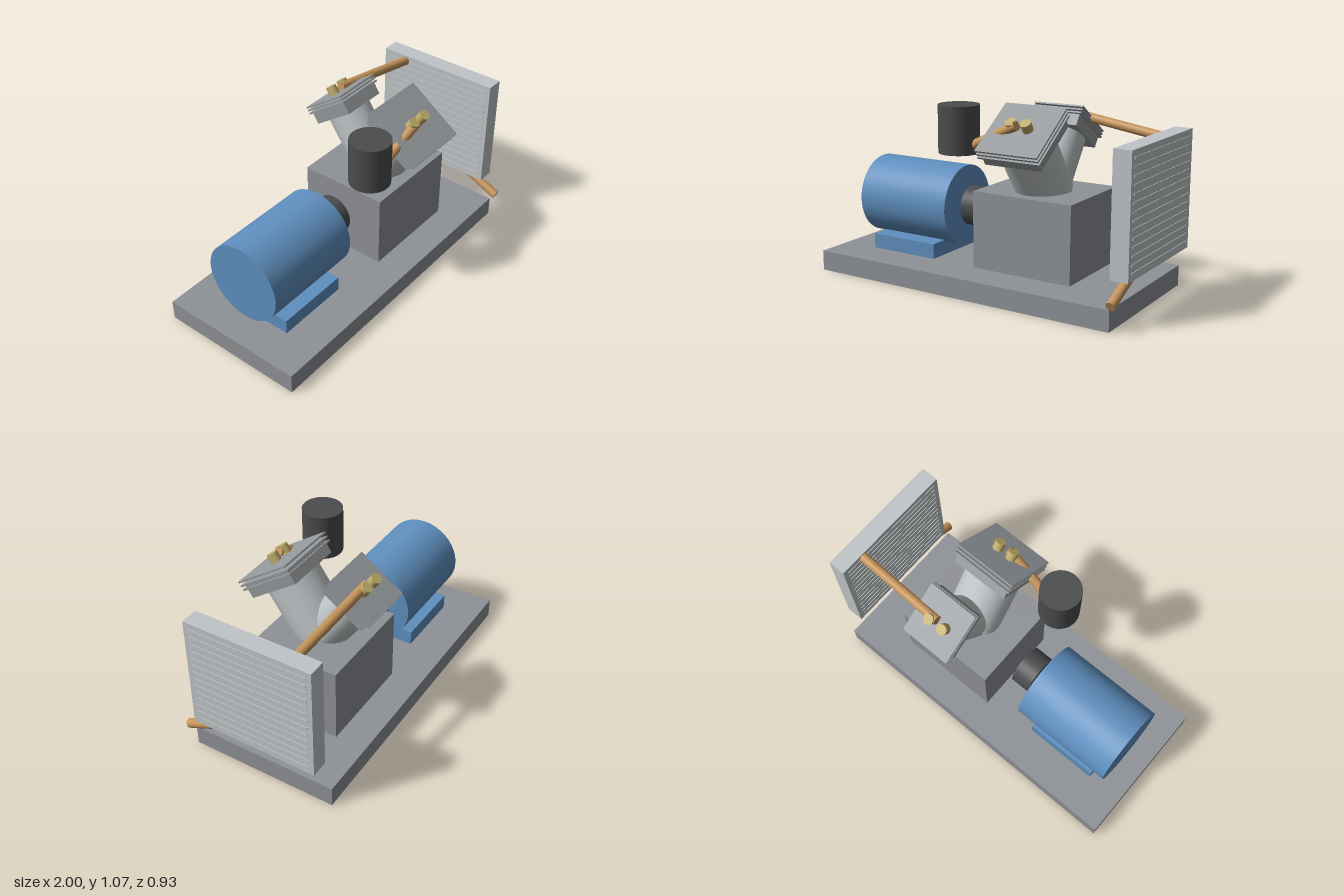
import * as THREE from 'three';

const paint = (name, color) => {
  const m = new THREE.MeshStandardMaterial({ color });
  m.name = name;
  return m;
};

export function createModel() {
  const grey = paint('grey steel', 0x8e9196);
  const headGrey = paint('head alloy', 0x969a9d);
  const silver = paint('silver', 0xc0c5c7);
  const blue = paint('motor blue', 0x5f8fbf);
  const dark = paint('dark grey', 0x4a4c4e);
  const copper = paint('copper', 0xc4935a);
  const brass = paint('brass', 0xbfae6a);

  const model = new THREE.Group();
  model.name = 'compressor';
  const MID = -0.02; // shared centre line in z

  const add = (parent, name, geo, mat, x, y, z) => {
    const m = new THREE.Mesh(geo, mat);
    m.name = name;
    m.position.set(x, y, z);
    parent.add(m);
    return m;
  };
  const box = (parent, name, mat, w, h, d, x, y, z) =>
    add(parent, name, new THREE.BoxGeometry(w, h, d), mat, x, y, z);
  const cyl = (parent, name, mat, r, h, x, y, z) =>
    add(parent, name, new THREE.CylinderGeometry(r, r, h, 48), mat, x, y, z);
  // straight round pipe between two points
  const pipe = (name, from, to) => {
    const a = new THREE.Vector3(...from);
    const b = new THREE.Vector3(...to);
    const c = a.clone().add(b).multiplyScalar(0.5);
    const m = cyl(model, name, copper, 0.027, a.distanceTo(b), c.x, c.y, c.z);
    m.quaternion.setFromUnitVectors(new THREE.Vector3(0, 1, 0), b.sub(a).normalize());
  };

  // base plate, crankcase
  box(model, 'basePlate', grey, 1.925, 0.12, 0.89, -0.0375, 0.06, MID);
  box(model, 'crankcase', grey, 0.62, 0.445, 0.535, 0.29, 0.3575, MID);

  // motor, its foot and the shaft coupling
  cyl(model, 'motor', blue, 0.237, 0.62, -0.555, 0.418, MID - 0.003).rotation.z = Math.PI / 2;
  box(model, 'motorFoot', blue, 0.445, 0.09, 0.44, -0.5575, 0.164, MID);
  cyl(model, 'coupling', dark, 0.117, 0.12, -0.155, 0.418, MID - 0.003).rotation.z = Math.PI / 2;

  // two tilted cylinder banks: large low-pressure in front, small high-pressure behind
  const bank = (name, tilt, scale, finGap) => {
    const g = new THREE.Group();
    g.name = name;
    g.position.set(0.29, 0.57, MID);
    g.rotation.x = tilt;
    cyl(g, 'cylinder', silver, 0.16 * scale, 0.36, 0, 0.18, 0);
    box(g, 'head', headGrey, 0.35 * scale, 0.078, 0.35 * scale, 0, 0.393, 0);
    for (let i = 0; i < 3; i++) {
      box(g, 'headFin', headGrey, 0.385 * scale, 0.01, 0.385 * scale, 0, 0.467 - i * finGap, 0);
    }
    for (const s of [-1, 1]) cyl(g, 'fitting', brass, 0.031, 0.06, s * 0.047, 0.493, 0);
    model.add(g);
  };
  const TILT = THREE.MathUtils.degToRad(35);
  bank('frontBank', TILT, 1, 0.025);
  bank('backBank', -TILT, 0.81, 0.019);

  // air filter
  cyl(model, 'airFilter', dark, 0.117, 0.27, -0.113, 0.925, 0.244);

  // radiator with thin fins on both faces
  box(model, 'radiator', silver, 0.104, 0.68, 0.77, 0.944, 0.595, MID);
  for (let i = 0; i < 14; i++) {
    box(model, 'radiatorFin', silver, 0.112, 0.012, 0.71, 0.944, 0.295 + i * 0.046, MID);
  }

  // copper pipes
  pipe('intakePipe', [-0.113, 0.795, 0.245], [0.28, 0.98, 0.275]);
  pipe('coolerPipe', [0.3, 0.98, -0.29], [0.944, 0.893, -0.247]);
  pipe('outletPipe', [0.944, 0.31, 0.1], [0.944, 0.15, 0.453]);

  return model;
}
